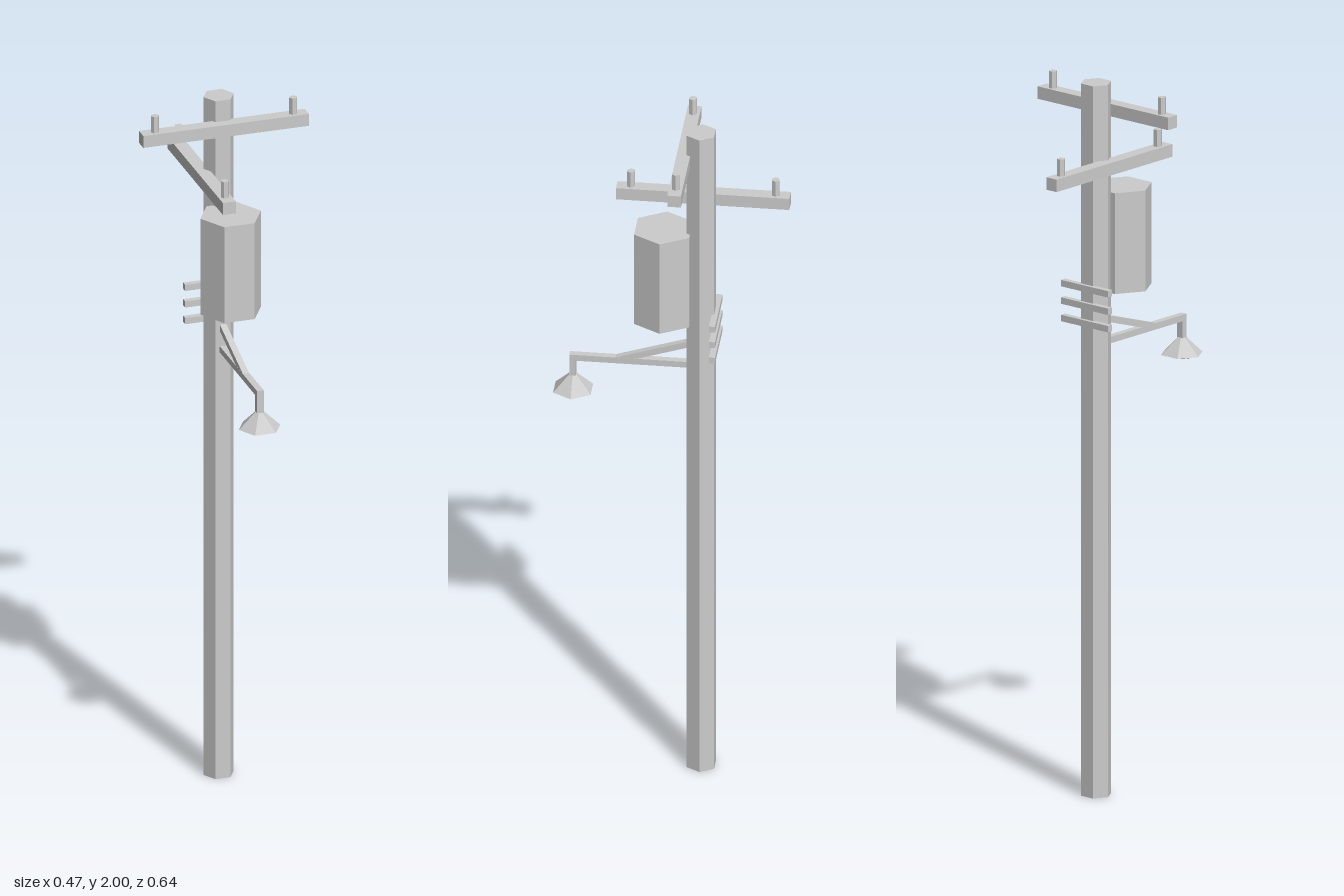
import * as THREE from 'three';

export function createModel() {
  const model = new THREE.Group();
  model.name = 'utilityPole';
  const grey = new THREE.MeshStandardMaterial({ color: 0xcccccc, flatShading: true });
  grey.name = 'light grey';

  function add(name, geometry, x, y, z, parent = model) {
    const mesh = new THREE.Mesh(geometry, grey);
    mesh.name = name;
    mesh.position.set(x, y, z);
    parent.add(mesh);
    return mesh;
  }
  // six-sided prism or frustum with corners on the x axis, between two heights
  function hex(name, rTop, rBottom, y0, y1, x, z, parent) {
    const g = new THREE.CylinderGeometry(rTop, rBottom, y1 - y0, 6, 1, false, Math.PI / 6);
    return add(name, g, x, (y0 + y1) / 2, z, parent);
  }
  const box = (name, w, h, d, x, y, z, parent) =>
    add(name, new THREE.BoxGeometry(w, h, d), x, y, z, parent);

  // pole and transformer
  hex('pole', 0.043, 0.043, 0, 2, 0, -0.086);
  hex('transformer', 0.0865, 0.0865, 1.407, 1.69, 0, 0.017);

  // two crossarms, each with a pair of insulators
  function crossarm(name, x, y, z, turn) {
    const arm = new THREE.Group();
    arm.name = name;
    arm.position.set(x, y, z);
    arm.rotation.y = turn;
    box(name + 'Beam', 0.472, 0.035, 0.037, 0, 0, 0, arm);
    for (const s of [-1, 1]) {
      const pin = hex('insulator', 0.0115, 0.0115, 0.017, 0.065, s * 0.197, 0, arm);
      pin.rotation.y = -turn;
    }
    model.add(arm);
  }
  crossarm('upperCrossarm', 0, 1.921, -0.04, 0);
  crossarm('lowerCrossarm', -0.048, 1.771, -0.086, Math.PI / 2);

  // climbing rungs on the back
  for (const y of [1.43, 1.381, 1.332]) box('rung', 0.17, 0.018, 0.017, 0, y, -0.125);

  // lamp arm: horizontal bar, drop and slanted brace
  box('lampArm', 0.019, 0.018, 0.332, 0, 1.267, 0.106);
  box('lampDrop', 0.019, 0.07, 0.017, 0, 1.237, 0.2635);
  const rise = 0.07, run = 0.215;
  const brace = box('lampBrace', 0.018, 0.018, Math.hypot(rise, run), 0, 1.302, 0.038);
  brace.rotation.x = Math.atan2(rise, run);

  // lamp shade and bulb
  hex('lampShade', 0.012, 0.059, 1.165, 1.211, 0, 0.263);
  hex('bulb', 0.036, 0.028, 1.156, 1.165, 0, 0.263);

  return model;
}
